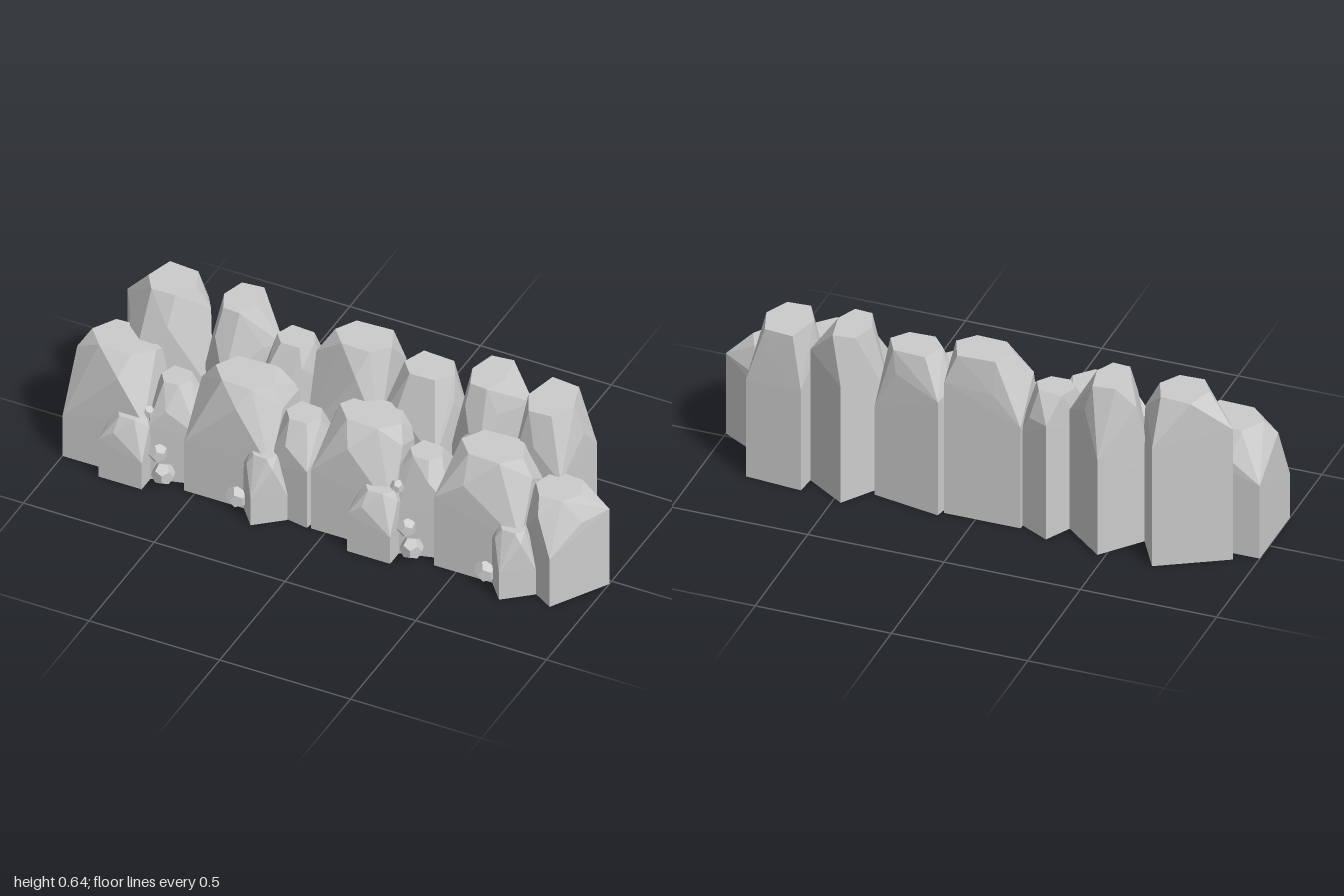
import * as THREE from 'three';
import { ConvexGeometry } from 'three/addons/geometries/ConvexGeometry.js';

const material = new THREE.MeshStandardMaterial({ color: 0xcccccc, flatShading: true });

// Flat top outline, in fractions of the top's half extents
const TOP = [[-1, 0.1], [-0.5, 0.95], [0.5, 1], [1, 0.2], [0.65, -1], [-0.6, -0.9]];

// Faceted column: turned rectangular foot, uneven shoulders, high points in
// the middle of each side and a small flat top, all wrapped in a convex hull.
function rock({ x, z, w, d, h, turn = 0, top, topZ }, seed) {
  const a = THREE.MathUtils.degToRad(turn);
  const c = Math.cos(a), s = Math.sin(a);
  const points = [];
  const put = (u, v, y) => {
    const lx = u * w / 2, lz = v * d / 2;
    points.push(new THREE.Vector3(x + lx * c + lz * s, y, z - lx * s + lz * c));
  };
  const wobble = (i) => Math.sin(seed * 2.7 + i * 1.9);
  // foot and shoulders, lower towards the front
  [[-1, 1], [1, 1], [1, -1], [-1, -1]].forEach(([u, v], i) => {
    put(u, v, 0.004);
    put(u, v, h * ((v > 0 ? 0.5 : 0.72) + 0.12 * wobble(i)));
  });
  // high points on the sides
  [[0, 1], [1, 0], [0, -1], [-1, 0]].forEach(([u, v], i) => {
    const shift = 0.35 * wobble(i + 5);
    put(u ? u * 0.98 : shift, v ? v * 0.98 : shift, h * (0.82 + 0.05 * wobble(i + 2)));
  });
  // flat top
  const mirror = seed % 2 ? -1 : 1;
  const mx = (top[0] + top[1]) / 2, rx = (top[1] - top[0]) / 2;
  const mz = (topZ[0] + topZ[1]) / 2, rz = (topZ[1] - topZ[0]) / 2;
  for (const [u, v] of TOP) points.push(new THREE.Vector3(mx + u * rx * mirror, h, mz + v * rz));
  return new THREE.Mesh(new ConvexGeometry(points), material);
}

function pebble(x, y, z, r, tall, turn) {
  const mesh = new THREE.Mesh(new THREE.DodecahedronGeometry(r), material);
  mesh.position.set(x, y, z);
  mesh.scale.set(1, tall, 1);
  mesh.rotation.y = turn;
  return mesh;
}

const BACK = [
  { x: -0.735, z: -0.095, w: 0.28, d: 0.24, h: 0.64, turn: 30, top: [-0.82, -0.64], topZ: [-0.2, -0.03] },
  { x: -0.47, z: -0.115, w: 0.2, d: 0.23, h: 0.64, turn: -40, top: [-0.54, -0.41], topZ: [-0.21, -0.04] },
  { x: -0.26, z: -0.1, w: 0.15, d: 0.23, h: 0.55, turn: -28, top: [-0.33, -0.19], topZ: [-0.17, -0.06] },
  { x: -0.025, z: -0.095, w: 0.28, d: 0.21, h: 0.64, top: [-0.11, 0.11], topZ: [-0.19, -0.04] },
  { x: 0.235, z: -0.095, w: 0.255, d: 0.21, h: 0.6, turn: -11, top: [0.16, 0.35], topZ: [-0.18, -0.04] },
  { x: 0.48, z: -0.12, w: 0.18, d: 0.23, h: 0.64, turn: -34, top: [0.41, 0.54], topZ: [-0.22, -0.03] },
  { x: 0.72, z: -0.11, w: 0.21, d: 0.24, h: 0.61, turn: -5, top: [0.63, 0.8], topZ: [-0.23, -0.02] },
];

const FRONT = [
  { x: -0.845, z: 0.055, w: 0.31, d: 0.29, h: 0.465, top: [-0.96, -0.71], topZ: [-0.04, 0.13] },
  { x: -0.62, z: 0.07, w: 0.18, d: 0.19, h: 0.385, turn: 15, top: [-0.68, -0.57], topZ: [0.02, 0.12] },
  { x: -0.375, z: 0.06, w: 0.33, d: 0.26, h: 0.48, top: [-0.48, -0.25], topZ: [-0.02, 0.14] },
  { x: -0.14, z: 0.08, w: 0.18, d: 0.2, h: 0.395, turn: -10, top: [-0.2, -0.07], topZ: [0.02, 0.13] },
  { x: 0.1, z: 0.055, w: 0.31, d: 0.27, h: 0.465, top: [-0.01, 0.23], topZ: [-0.03, 0.13] },
  { x: 0.33, z: 0.07, w: 0.18, d: 0.19, h: 0.385, turn: 15, top: [0.27, 0.39], topZ: [0.02, 0.12] },
  { x: 0.58, z: 0.06, w: 0.33, d: 0.26, h: 0.48, top: [0.46, 0.7], topZ: [-0.02, 0.14] },
  { x: 0.835, z: 0.06, w: 0.24, d: 0.243, h: 0.395, turn: -31, top: [0.75, 0.92], topZ: [-0.015, 0.14] },
];

export function createModel() {
  const model = new THREE.Group();
  model.name = 'rockWall';
  const add = (mesh, name) => { mesh.name = name; model.add(mesh); };

  BACK.forEach((r, i) => add(rock(r, i + 1), `backRock${i + 1}`));
  FRONT.forEach((r, i) => add(rock(r, i + 4), `frontRock${i + 1}`));

  // The small stones at the foot repeat along the wall
  [0, 0.95].forEach((o, i) => {
    const n = i + 1;
    add(rock({ x: -0.755 + o, z: 0.175, w: 0.165, d: 0.15, h: 0.265,
      top: [-0.8 + o, -0.69 + o], topZ: [0.13, 0.22] }, 3), `footRock${n}`);
    add(rock({ x: -0.24 + o, z: 0.175, w: 0.13, d: 0.13, h: 0.26, turn: 40,
      top: [-0.29 + o, -0.19 + o], topZ: [0.14, 0.21] }, 6), `turnedFootRock${n}`);
    add(pebble(-0.62 + o, 0.05, 0.19, 0.042, 1, 0.3), `lowPebble${n}`);
    add(pebble(-0.645 + o, 0.125, 0.18, 0.036, 1, 1.1), `middlePebble${n}`);
    add(pebble(-0.69 + o, 0.27, 0.16, 0.025, 1.1, 0.7), `highPebble${n}`);
    add(pebble(-0.335 + o, 0.05, 0.19, 0.043, 1, 0.9), `sidePebble${n}`);
  });
  return model;
}
